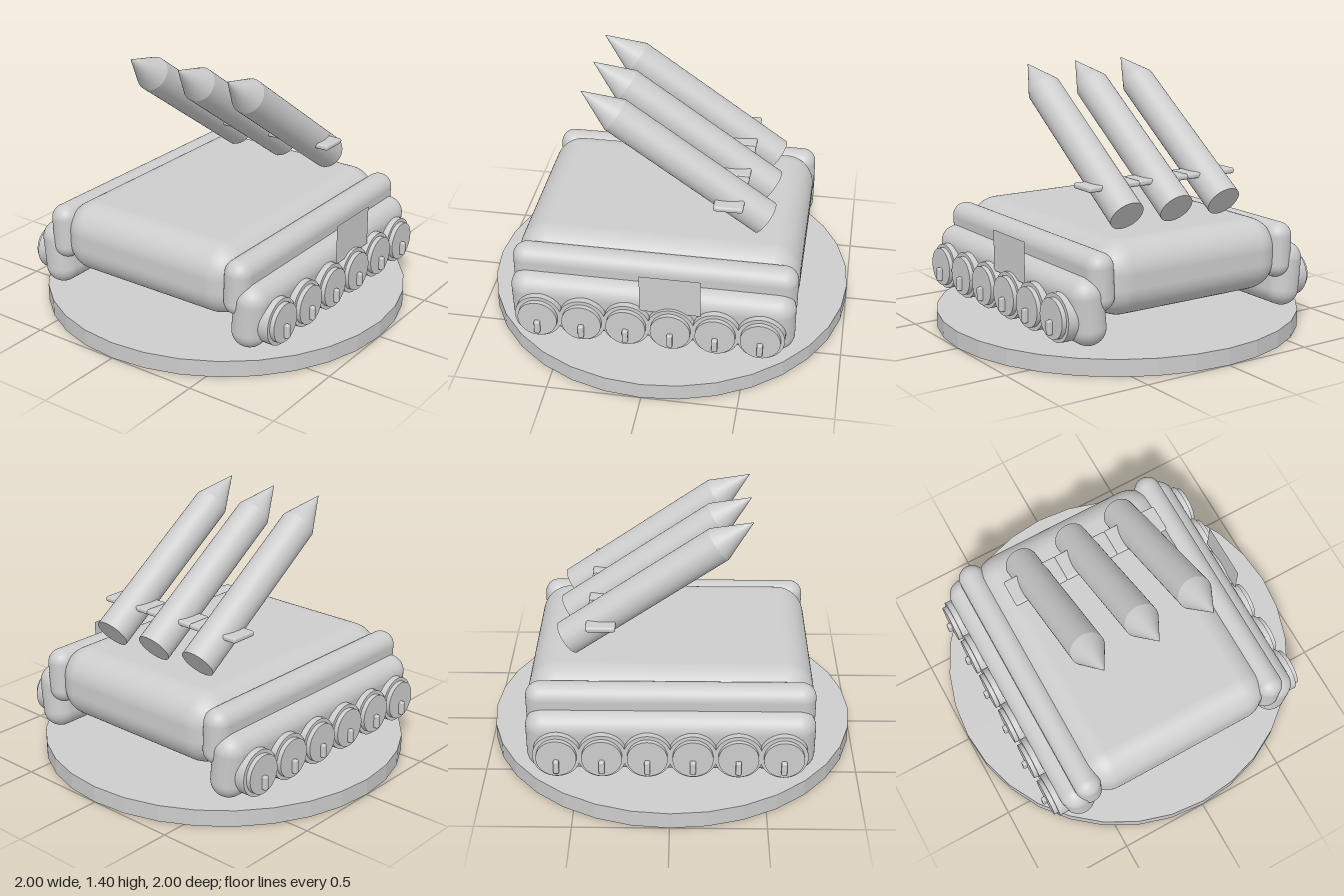
import * as THREE from 'three';
import { RoundedBoxGeometry } from 'three/addons/geometries/RoundedBoxGeometry.js';

export function createModel() {
  const model = new THREE.Group();
  const grey = new THREE.MeshStandardMaterial({ color: 0xcccccc, side: THREE.DoubleSide });
  grey.name = 'lightGrey';

  const add = (parent, name, geometry, x = 0, y = 0, z = 0) => {
    const mesh = new THREE.Mesh(geometry, grey);
    mesh.name = name;
    mesh.position.set(x, y, z);
    parent.add(mesh);
    return mesh;
  };

  // Faceted round stand
  const baseGeo = new THREE.CylinderGeometry(1, 1, 0.09, 32).toNonIndexed();
  baseGeo.computeVertexNormals();
  add(model, 'base', baseGeo, 0, 0.045, 0);

  // Pillow-shaped hull
  add(model, 'hull', new RoundedBoxGeometry(1.14, 0.39, 1.51, 8, 0.16), 0, 0.435, 0);

  // Side fenders, tracks and road wheels, mirrored
  const fenderGeo = new RoundedBoxGeometry(0.15, 0.3, 1.51, 8, 0.074);
  const trackGeo = new RoundedBoxGeometry(0.185, 0.35, 1.51, 8, 0.092);
  const tyreGeo = new THREE.CylinderGeometry(0.125, 0.125, 0.12, 40).rotateZ(Math.PI / 2);
  const hubGeo = new THREE.CylinderGeometry(0.105, 0.105, 0.04, 40).rotateZ(Math.PI / 2);
  const pinGeo = new RoundedBoxGeometry(0.04, 0.075, 0.03, 3, 0.008);

  for (const s of [-1, 1]) {
    const side = new THREE.Group();
    side.name = s > 0 ? 'leftSide' : 'rightSide';
    model.add(side);
    add(side, 'fender', fenderGeo, s * 0.57, 0.45, 0).rotation.z = -s * 0.04;
    add(side, 'track', trackGeo, s * 0.632, 0.305, 0).rotation.z = -s * 0.09;
    for (let i = 0; i < 6; i++) {
      const wheel = new THREE.Group();
      wheel.name = 'roadWheel';
      wheel.position.set(0, 0.275, 0.588 - i * 0.235);
      side.add(wheel);
      add(wheel, 'tyre', tyreGeo, s * 0.705);
      add(wheel, 'hub', hubGeo, s * 0.77);
      add(wheel, 'hubPin', pinGeo, s * 0.794, -0.043, 0);
    }
  }

  // Flat panel on the left side only
  add(model, 'sidePanel', new THREE.PlaneGeometry(0.32, 0.22).rotateY(Math.PI / 2), 0.748, 0.48, -0.11);

  // Three rockets raised towards the front, each with a level fin plate
  const bodyGeo = new THREE.CylinderGeometry(0.094, 0.094, 0.964, 40);
  const noseGeo = new THREE.ConeGeometry(0.094, 0.215, 40);
  const finGeo = new RoundedBoxGeometry(0.315, 0.03, 0.155, 3, 0.012);
  for (const x of [-0.31, 0, 0.31]) {
    const rocket = new THREE.Group();
    rocket.name = 'rocket';
    rocket.position.set(x, 0.72, -0.547);
    rocket.rotation.x = THREE.MathUtils.degToRad(55);
    model.add(rocket);
    add(rocket, 'rocketBody', bodyGeo, 0, 0.482, 0);
    add(rocket, 'rocketNose', noseGeo, 0, 0.964 + 0.1075, 0);
    add(model, 'rocketFin', finGeo, x, 0.851, -0.365);
  }

  return model;
}
